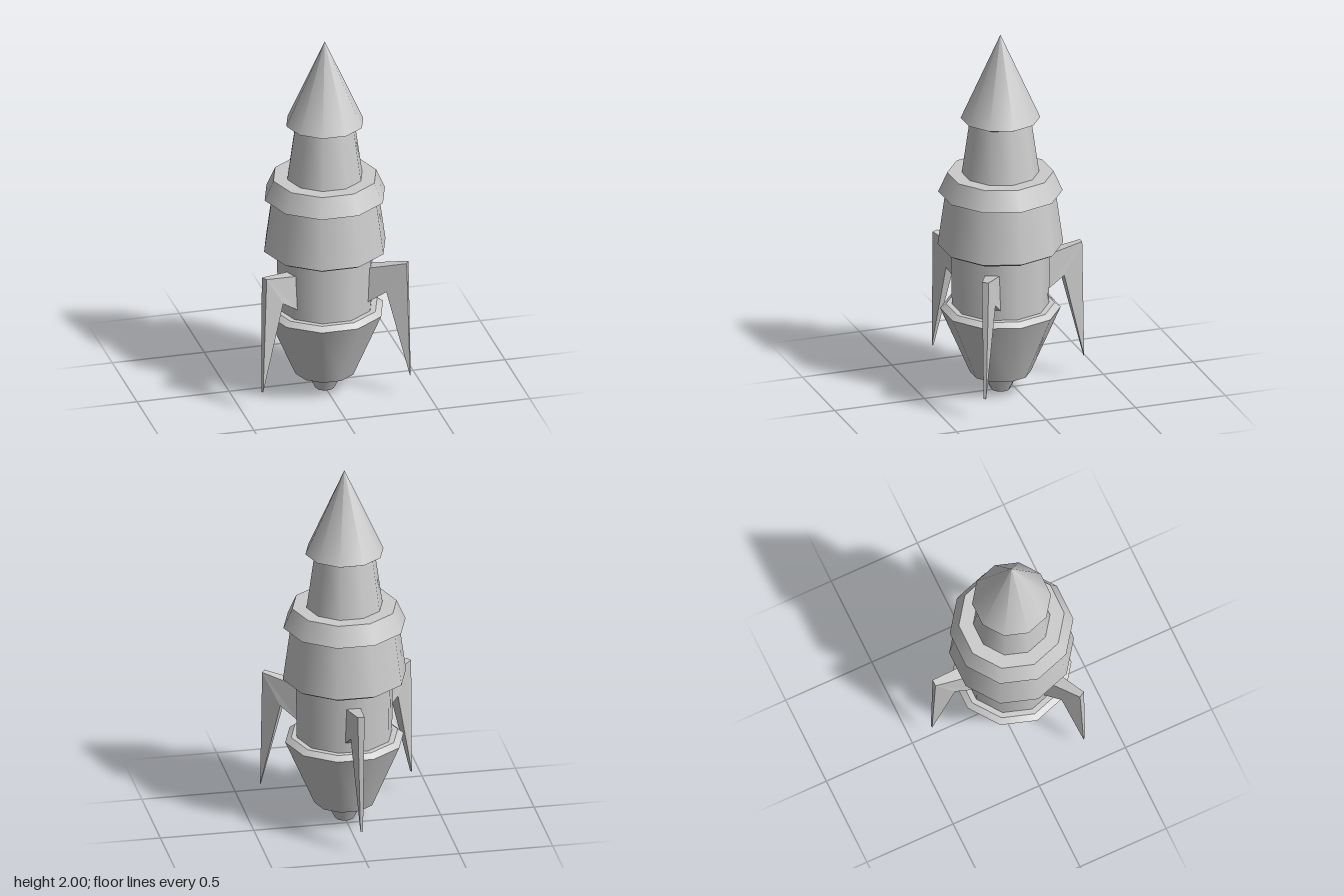
import * as THREE from 'three';
import { mergeGeometries } from 'three/addons/utils/BufferGeometryUtils.js';

const SIDES = 10;
const AXIS_Z = 0.075; // the hull axis sits forward of centre to balance the rear fin

const material = new THREE.MeshStandardMaterial({ color: 0xcccccc });

// Ten-sided turned part: smooth around, sharp edge between bands.
// profile: [radius, y] from bottom to top
function turned(name, profile) {
  const bands = [];
  for (let i = 0; i < profile.length - 1; i++) {
    const pts = [profile[i], profile[i + 1]].map(([r, y]) => new THREE.Vector2(r, y));
    bands.push(new THREE.LatheGeometry(pts, SIDES, Math.PI / 2));
  }
  const mesh = new THREE.Mesh(mergeGeometries(bands), material);
  mesh.name = name;
  return mesh;
}

// Fin outline: [distance from axis, y, half thickness]
const FIN = [
  [0.45, 0.775, 0.018], // outer top
  [0.242, 0.732, 0.038], // root top
  [0.242, 0.537, 0.044], // root bottom
  [0.344, 0.605, 0.035], // notch
  [0.465, 0.122, 0.007], // tip
];

// Extruded outline whose thickness tapers from root to tip
function finGeometry() {
  const shape = new THREE.Shape(FIN.map(([d, y]) => new THREE.Vector2(d, y)));
  const geo = new THREE.ExtrudeGeometry(shape, { depth: 1, bevelEnabled: false });
  const pos = geo.attributes.position;
  for (let i = 0; i < pos.count; i++) {
    const corner = FIN.find(([d, y]) => Math.hypot(d - pos.getX(i), y - pos.getY(i)) < 1e-4);
    pos.setZ(i, pos.getZ(i) > 0.5 ? corner[2] : -corner[2]);
  }
  geo.computeVertexNormals();
  return geo;
}

export function createModel() {
  const rocket = new THREE.Group();
  rocket.name = 'rocket';

  // Hull, from the nozzle up
  const hull = new THREE.Group();
  hull.name = 'hull';
  hull.add(
    turned('nozzle', [[0, 0], [0.05, 0], [0.09, 0.077], [0.09, 0.085]]),
    turned('engineCone', [[0.08, 0.077], [0.16, 0.096], [0.317, 0.458], [0.285, 0.482], [0.25, 0.482]]),
    turned('lowerBody', [[0.255, 0.475], [0.26, 0.81]]),
    turned('middleBody', [[0.255, 0.8], [0.295, 0.803], [0.33, 0.822], [0.288, 1.125]]),
    turned('collar', [[0.28, 1.118], [0.327, 1.118], [0.279, 1.225], [0.19, 1.225]]),
    turned('upperBody', [[0.204, 1.22], [0.16, 1.53]]),
    turned('noseCone', [[0.155, 1.522], [0.185, 1.522], [0.209, 1.533], [0, 2]]),
  );
  rocket.add(hull);

  // Three fins: one at the rear, two towards the front
  const geo = finGeometry();
  [['rearFin', 90], ['leftFin', -30], ['rightFin', 210]].forEach(([name, deg]) => {
    const fin = new THREE.Mesh(geo, material);
    fin.name = name;
    fin.rotation.y = THREE.MathUtils.degToRad(deg);
    rocket.add(fin);
  });

  rocket.position.z = AXIS_Z;
  const root = new THREE.Group();
  root.name = 'model';
  root.add(rocket);
  return root;
}
